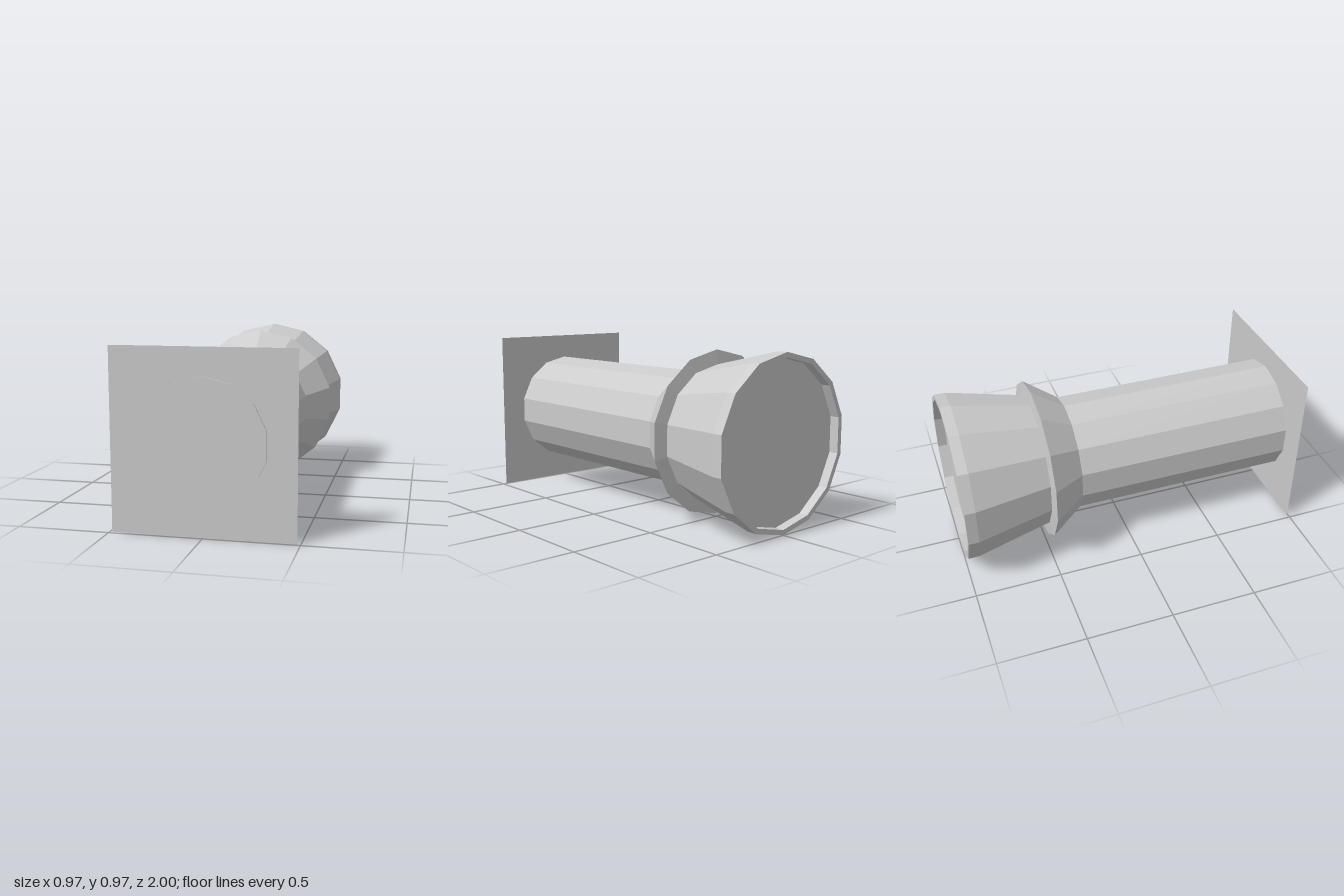
import * as THREE from 'three';

const SIDES = 14;
const CENTRE_Y = 0.487;

export function createModel() {
  const model = new THREE.Group();
  model.name = 'flashlight';
  const material = new THREE.MeshStandardMaterial({
    color: 0xcccccc, flatShading: true, side: THREE.DoubleSide,
  });

  const add = (name, geometry, z = 0) => {
    const mesh = new THREE.Mesh(geometry, material);
    mesh.name = name;
    mesh.position.set(0, CENTRE_Y, z);
    model.add(mesh);
  };

  // Faceted turned part along z, from [radius, z] pairs running back to front
  const turned = (name, profile) => {
    const points = profile.map(([r, z]) => new THREE.Vector2(r, z));
    add(name, new THREE.LatheGeometry(points, SIDES).rotateX(Math.PI / 2));
  };

  // Recessed lens at the back end
  turned('lens', [[0, -0.945], [0.457, -0.945]]);

  // Flared head with its rim and inner lip
  turned('head', [[0.457, -0.945], [0.457, -1], [0.486, -1], [0.486, -0.94], [0.388, -0.5]]);

  // Conical collar with an almost flat back
  turned('collar', [[0.388, -0.5], [0.47, -0.49], [0.337, -0.3]]);

  // Long handle, closed at the front
  turned('handle', [[0.337, -0.3], [0.337, 1], [0, 1]]);

  // Thin square plate just behind the end of the handle
  add('endPlate', new THREE.PlaneGeometry(0.966, 0.966), 0.99);

  return model;
}
